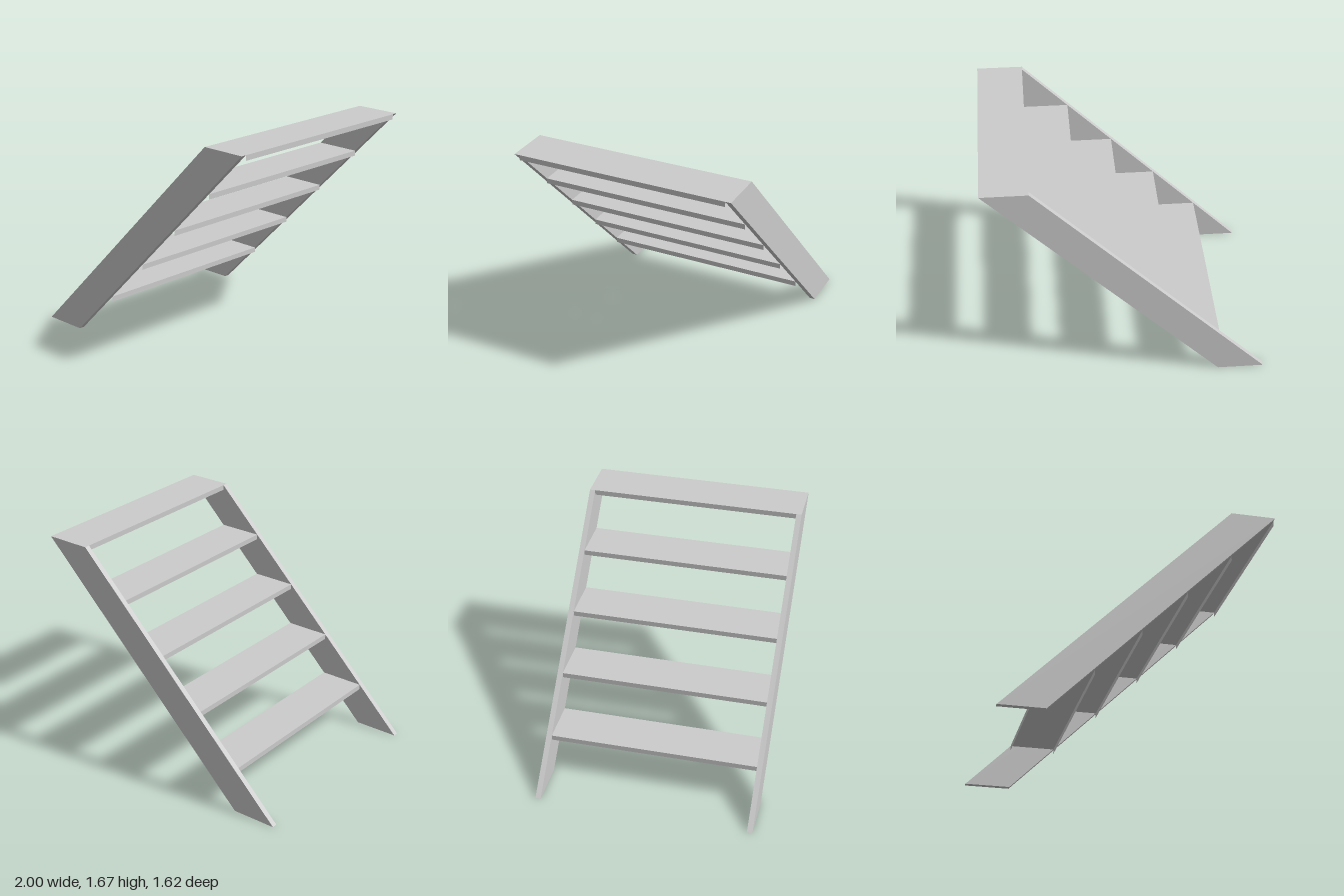
import * as THREE from 'three';

const RISE = 1 / 3, DEPTH = 1 / 3, HEIGHT = 5 / 3, LIP = 0.038;
const HALF_WIDTH = 0.81, BOARD = 0.04, INNER = HALF_WIDTH - BOARD;

const material = new THREE.MeshStandardMaterial({ color: 0xcccccc, flatShading: true });
const thinMaterial = new THREE.MeshStandardMaterial({
  color: 0xcccccc, flatShading: true, side: THREE.DoubleSide,
});

// Sloping side board: a parallelogram cut level at the floor and at the top
function stringerGeometry() {
  const shape = new THREE.Shape([
    new THREE.Vector2(-1, 0),
    new THREE.Vector2(-1 + DEPTH, 0),
    new THREE.Vector2(1, HEIGHT),
    new THREE.Vector2(1 - DEPTH, HEIGHT),
  ]);
  return new THREE.ExtrudeGeometry(shape, { depth: BOARD, bevelEnabled: false });
}

// Folded tread: a flat top with a lip turned down at each long edge, open below
function treadGeometry() {
  const section = [[0, -LIP], [0, 0], [DEPTH, 0], [DEPTH, -LIP]];
  const geometry = new THREE.PlaneGeometry(1, 1, section.length - 1, 1);
  const position = geometry.attributes.position;
  for (let i = 0; i < position.count; i++) {
    const [x, y] = section[i % section.length];
    position.setXYZ(i, x, y, i < section.length ? -INNER : INNER);
  }
  const flat = geometry.toNonIndexed();
  flat.computeVertexNormals();
  return flat;
}

export function createModel() {
  const stairs = new THREE.Group();
  stairs.name = 'stairs';

  // Side boards
  const board = stringerGeometry();
  for (const [name, z] of [['frontStringer', INNER], ['backStringer', -HALF_WIDTH]]) {
    const stringer = new THREE.Mesh(board, material);
    stringer.name = name;
    stringer.position.z = z;
    stairs.add(stringer);
  }

  // Five treads, the last level with the top of the side boards
  const step = treadGeometry();
  for (let i = 1; i <= 5; i++) {
    const tread = new THREE.Mesh(step, thinMaterial);
    tread.name = `tread${i}`;
    tread.position.set(-1 + i * DEPTH, i * RISE, 0);
    stairs.add(tread);
  }

  return stairs;
}
